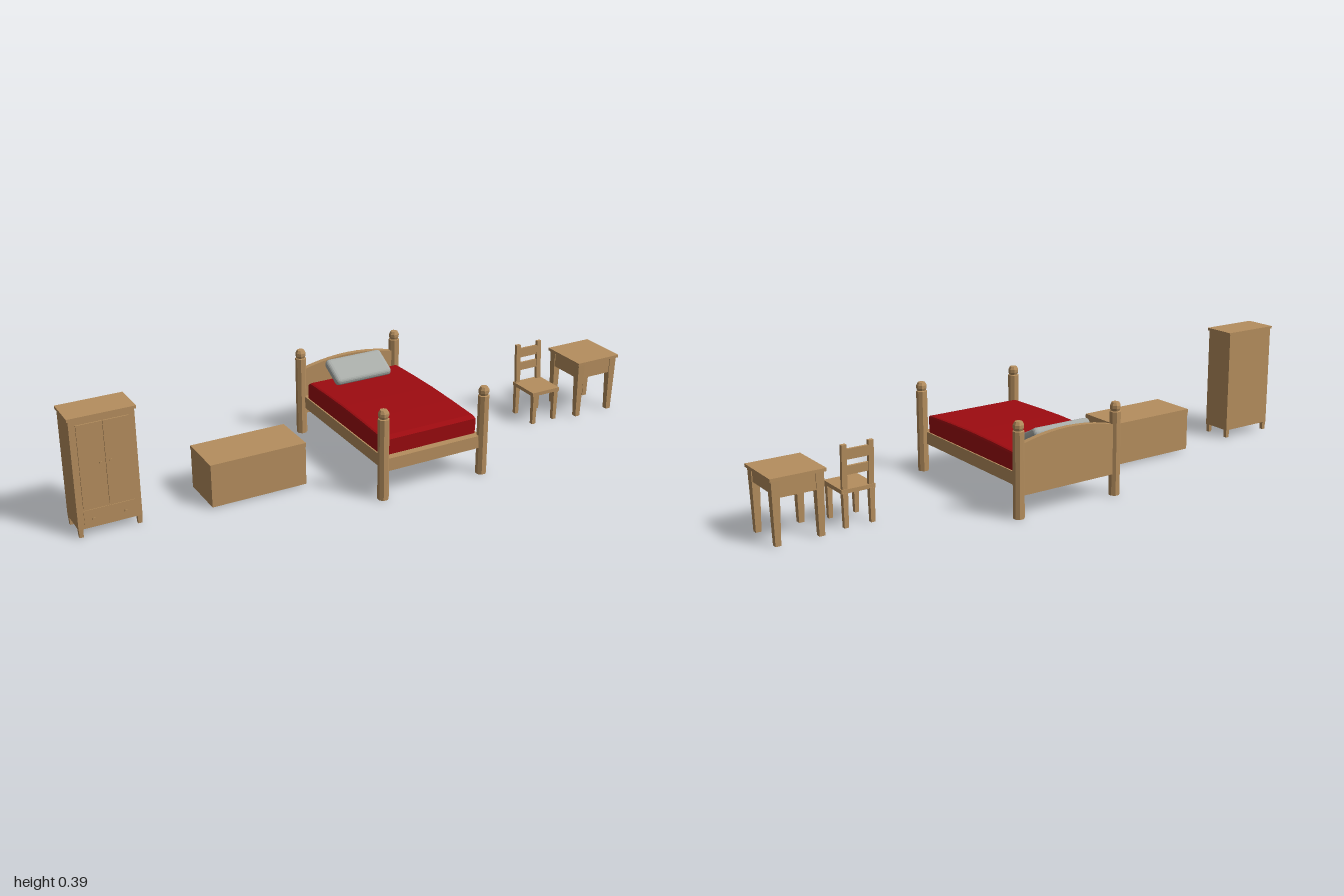
import * as THREE from 'three';
import { RoundedBoxGeometry } from 'three/addons/geometries/RoundedBoxGeometry.js';

export function createModel() {
  const model = new THREE.Group();
  const mat = (name, color) => {
    const m = new THREE.MeshStandardMaterial({ color, flatShading: true });
    m.name = name;
    return m;
  };
  const wood = mat('wood', 0xb58e5e);
  const red = mat('red blanket', 0x9e0b10);
  const grey = mat('pillow grey', 0xa8aca8);

  const group = (name) => {
    const g = new THREE.Group();
    g.name = name;
    model.add(g);
    return g;
  };
  const add = (parent, name, geo, material = wood) => {
    const m = new THREE.Mesh(geo, material);
    m.name = name;
    parent.add(m);
    return m;
  };
  // box given by its limits on each axis
  const box = (parent, name, x0, x1, y0, y1, z0, z1) => {
    const m = add(parent, name, new THREE.BoxGeometry(x1 - x0, y1 - y0, z1 - z0));
    m.position.set((x0 + x1) / 2, (y0 + y1) / 2, (z0 + z1) / 2);
    return m;
  };
  // square leg that narrows toward the floor
  const leg = (parent, name, x, z, top, w, wBottom) => {
    const geo = new THREE.CylinderGeometry(w * Math.SQRT1_2, wBottom * Math.SQRT1_2, top, 4);
    geo.rotateY(Math.PI / 4);
    add(parent, name, geo).position.set(x, top / 2, z);
  };

  // Wardrobe
  const wardrobe = group('wardrobe');
  box(wardrobe, 'wardrobeBody', -0.995, -0.795, 0.028, 0.383, -0.047, 0.061);
  box(wardrobe, 'wardrobeTop', -1, -0.79, 0.383, 0.392, -0.05, 0.065);
  box(wardrobe, 'wardrobeDoorLeft', -0.894, -0.815, 0.097, 0.367, 0.061, 0.065);
  box(wardrobe, 'wardrobeDoorRight', -0.975, -0.896, 0.097, 0.367, 0.061, 0.065);
  box(wardrobe, 'wardrobeDrawer', -0.975, -0.815, 0.038, 0.088, 0.061, 0.063);
  for (const x of [-0.987, -0.803]) {
    for (const z of [-0.039, 0.053]) leg(wardrobe, 'wardrobeFoot', x, z, 0.028, 0.015, 0.012);
  }
  for (const [x, y] of [[-0.911, 0.236], [-0.879, 0.236], [-0.947, 0.058], [-0.847, 0.058]]) {
    const knob = add(wardrobe, 'wardrobeKnob', new THREE.CylinderGeometry(0.006, 0.004, 0.01, 8));
    knob.rotation.x = Math.PI / 2;
    knob.position.set(x, y, 0.068);
  }

  // Storage chest with a flush lid
  const chest = group('chest');
  box(chest, 'chestBody', -0.577, -0.251, 0.006, 0.138, -0.073, 0.087);
  box(chest, 'chestLid', -0.578, -0.25, 0.138, 0.152, -0.074, 0.088);

  // Bed: posts at the four corners
  const bed = group('bed');
  const cx = 0.105;
  const postProfile = [[0, 0], [0.0184, 0], [0.0184, 0.277], [0.0145, 0.279], [0.0175, 0.287],
    [0.0175, 0.297], [0.012, 0.307], [0, 0.308]].map(([r, y]) => new THREE.Vector2(r, y));
  for (const sx of [-1, 1]) {
    for (const sz of [-1, 1]) {
      const geo = new THREE.LatheGeometry(postProfile, 8, Math.PI / 8);
      add(bed, 'bedPost', geo).position.set(cx + sx * 0.185, 0, sz * 0.283);
    }
  }
  box(bed, 'bedBase', cx - 0.179, cx + 0.179, 0.095, 0.137, -0.275, 0.275);
  box(bed, 'footRail', cx - 0.175, cx + 0.175, 0.095, 0.138, 0.274, 0.289);

  // Arched headboard
  const board = new THREE.Shape();
  board.moveTo(-0.18, 0.072);
  board.lineTo(0.18, 0.072);
  board.lineTo(0.18, 0.235);
  board.quadraticCurveTo(0, 0.285, -0.18, 0.235);
  board.closePath();
  const boardGeo = new THREE.ExtrudeGeometry(board, { depth: 0.018, bevelEnabled: false, curveSegments: 10 });
  add(bed, 'headboard', boardGeo).position.set(cx, 0, -0.292);

  // Mattress: gently domed side profile swept across the bed
  const side = new THREE.Shape();
  [[0.253, 0.13], [0.257, 0.185], [0.243, 0.189], [0.12, 0.193], [0, 0.195], [-0.12, 0.193],
    [-0.235, 0.189], [-0.247, 0.182], [-0.25, 0.145], [-0.245, 0.13]]
    .forEach(([z, y], i) => (i ? side.lineTo(z, y) : side.moveTo(z, y)));
  const mattress = new THREE.ExtrudeGeometry(side, {
    depth: 0.332, bevelThickness: 0.008, bevelSize: 0.008, bevelSegments: 2,
  });
  mattress.rotateY(-Math.PI / 2);
  mattress.translate(cx + 0.166, 0, 0);
  add(bed, 'mattress', mattress, red);

  // Pillow leaning on the headboard
  const pillow = add(bed, 'pillow', new RoundedBoxGeometry(0.216, 0.033, 0.108, 2, 0.015), grey);
  pillow.position.set(0.108, 0.228, -0.216);
  pillow.rotation.x = 0.49;

  // Chair
  const chair = group('chair');
  box(chair, 'chairSeat', 0.653, 0.766, 0.108, 0.121, -0.054, 0.066);
  for (const x of [0.665, 0.754]) {
    leg(chair, 'chairFrontLeg', x, 0.057, 0.11, 0.017, 0.014);
    leg(chair, 'chairBackLeg', x, -0.047, 0.11, 0.017, 0.014);
  }
  const back = new THREE.Group();
  back.name = 'chairBack';
  back.position.set(0.7095, 0.118, -0.046);
  back.rotation.x = -0.055;
  chair.add(back);
  for (const s of [-1, 1]) {
    box(back, 'chairBackPost', s * 0.0445 - 0.0085, s * 0.0445 + 0.0085, 0, 0.143, -0.006, 0.006);
  }
  box(back, 'chairTopSlat', -0.04, 0.04, 0.095, 0.128, -0.004, 0.004);
  box(back, 'chairLowerSlat', -0.04, 0.04, 0.047, 0.075, -0.004, 0.004);

  // Table
  const table = group('table');
  box(table, 'tableTop', 0.823, 1, 0.2, 0.21, -0.08, 0.096);
  for (const x of [0.842, 0.981]) {
    for (const z of [-0.061, 0.077]) leg(table, 'tableLeg', x, z, 0.2, 0.027, 0.018);
  }
  box(table, 'tableApronFront', 0.85, 0.973, 0.146, 0.2, 0.074, 0.087);
  box(table, 'tableApronBack', 0.85, 0.973, 0.146, 0.2, -0.071, -0.058);
  box(table, 'tableApronRight', 0.832, 0.845, 0.147, 0.2, -0.055, 0.071);
  box(table, 'tableApronLeft', 0.978, 0.991, 0.16, 0.2, -0.055, 0.071);

  return model;
}
